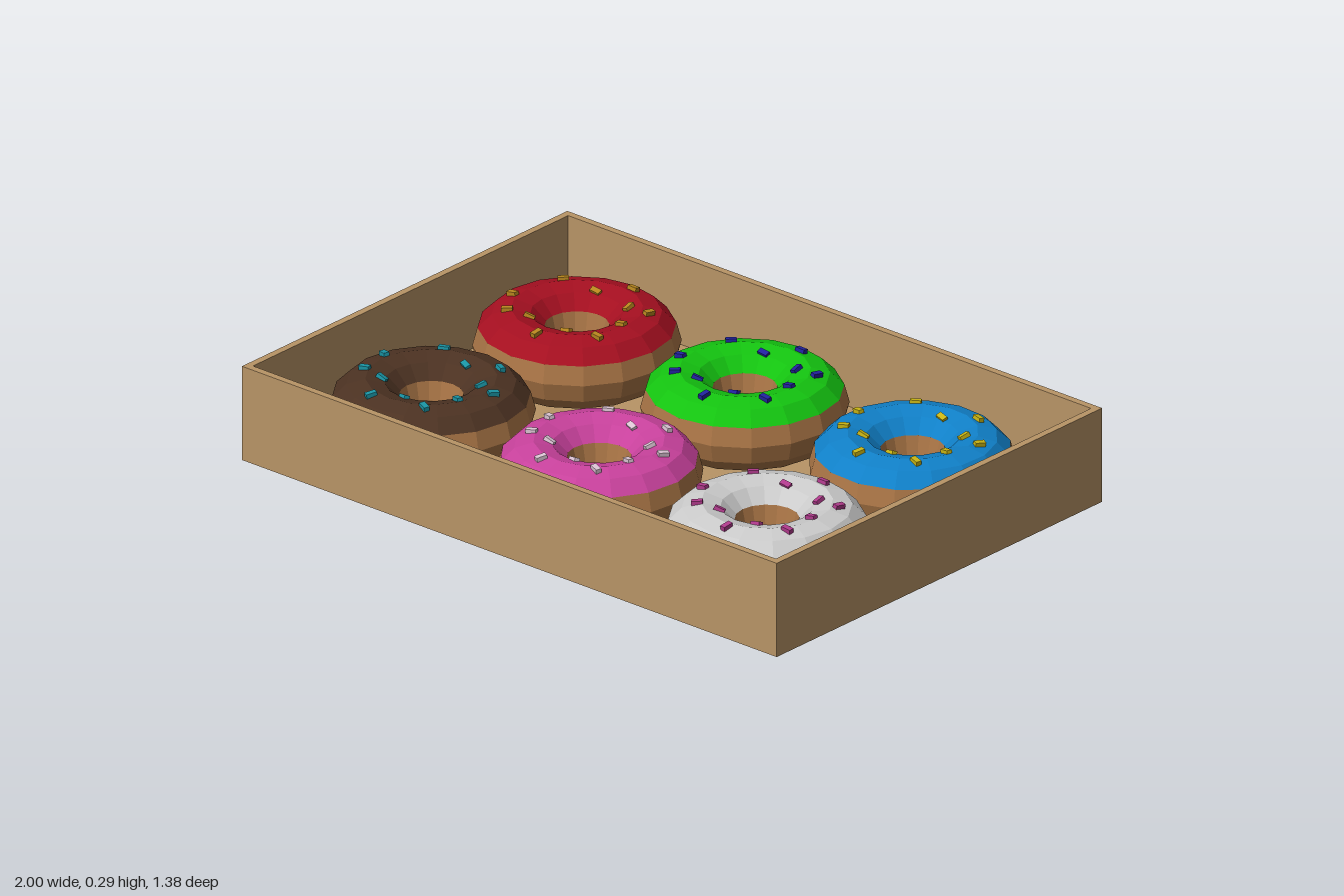
import * as THREE from 'three';

const RING = 0.186, TUBE = 0.109, FLOOR = 0.02;
const mat = (color, flatShading = false) => new THREE.MeshStandardMaterial({ color, flatShading });

function add(parent, name, geometry, material) {
  const mesh = new THREE.Mesh(geometry, material);
  mesh.name = name;
  parent.add(mesh);
  return mesh;
}

// Band of a low-poly ring between two angles around its tube
function ringBand(fromDeg, toDeg) {
  const points = [];
  for (let a = fromDeg; a <= toDeg; a += 30) {
    const t = THREE.MathUtils.degToRad(a);
    points.push(new THREE.Vector2(RING + TUBE * Math.cos(t), TUBE * Math.sin(t)));
  }
  return new THREE.LatheGeometry(points, 16);
}

// Sprinkles on one donut: x, z, turn in degrees
const SPRINKLES = [
  [0.035, -0.2, 0], [-0.045, -0.132, 0], [-0.155, -0.118, 45], [0.1, -0.107, 90],
  [0.175, -0.107, 80], [0.166, 0, 0], [-0.198, 0.048, 0], [-0.139, 0.139, 35],
  [-0.075, 0.118, 30], [0.064, 0.118, 0], [0.17, 0.107, 0], [0.027, 0.203, 85],
];

function makeDonut(name, icing, sprinkle, turn) {
  const donut = new THREE.Group();
  donut.name = name;
  add(donut, 'dough', ringBand(150, 390), mat(0xa87445, true));
  add(donut, 'icing', ringBand(30, 150), mat(icing, true));

  const shape = new THREE.BoxGeometry(0.032, 0.018, 0.017);
  const material = mat(sprinkle);
  const up = new THREE.Vector3(0, 1, 0);
  for (const [x, z, yaw] of SPRINKLES) {
    // Sit on the tube and lean with its surface
    const d = Math.hypot(x, z), across = (d - RING) / TUBE;
    const rise = Math.sqrt(1 - across * across);
    const normal = new THREE.Vector3(x / d * across, rise, z / d * across);
    const piece = add(donut, 'sprinkle', shape, material);
    piece.position.set(x, TUBE * rise - 0.001, z);
    piece.quaternion.setFromUnitVectors(up, normal);
    piece.rotateY(THREE.MathUtils.degToRad(yaw));
  }
  donut.rotation.y = -THREE.MathUtils.degToRad(turn);
  return donut;
}

export function createModel() {
  const model = new THREE.Group();
  model.name = 'donutBox';

  // Open tray: floor and four walls
  const W = 2, D = 1.385, H = 0.29, T = 0.022;
  const card = mat(0xb89466);
  const tray = new THREE.Group();
  tray.name = 'tray';
  model.add(tray);
  add(tray, 'floor', new THREE.BoxGeometry(W - 2 * T, FLOOR, D - 2 * T), card).position.y = FLOOR / 2;
  for (const s of [-1, 1]) {
    add(tray, s > 0 ? 'frontWall' : 'backWall', new THREE.BoxGeometry(W, H, T), card)
      .position.set(0, H / 2, s * (D - T) / 2);
    add(tray, s > 0 ? 'leftWall' : 'rightWall', new THREE.BoxGeometry(T, H, D - 2 * T), card)
      .position.set(s * (W - T) / 2, H / 2, 0);
  }

  // Six donuts in two rows: name, icing, sprinkles, turn
  const donuts = [
    ['redDonut', 0xa50f20, 0xb8861e, 0],
    ['greenDonut', 0x14c410, 0x2222a0, 0],
    ['blueDonut', 0x1080c8, 0xc8b414, 14],
    ['chocolateDonut', 0x4c3222, 0x1a94a4, 22],
    ['pinkDonut', 0xc8419c, 0xdcc4d4, 19],
    ['whiteDonut', 0xc4c4c4, 0xb03a8c, 0],
  ];
  donuts.forEach(([name, icing, sprinkle, turn], i) => {
    const donut = makeDonut(name, icing, sprinkle, turn);
    donut.position.set((i % 3 - 1) * 0.628, FLOOR + TUBE, i < 3 ? -0.31 : 0.31);
    model.add(donut);
  });
  return model;
}
